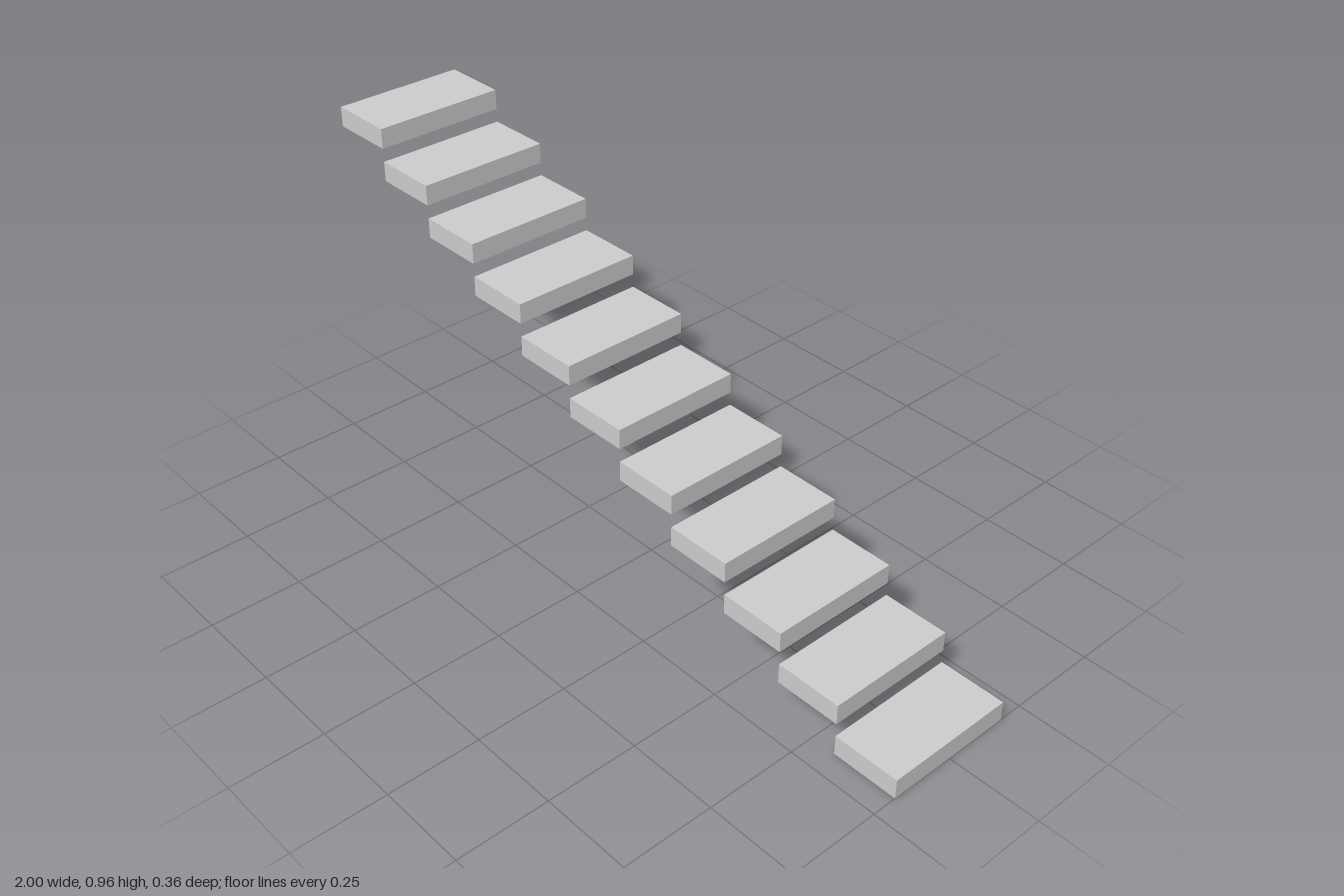
import * as THREE from 'three';

const STEPS = 11;
const TREAD = 2 / STEPS;      // step length along x
const RISE = TREAD / 2;       // height gained per step
const THICKNESS = TREAD * 0.3;
const WIDTH = TREAD * 2;      // step width along z

export function createModel() {
  const staircase = new THREE.Group();
  staircase.name = 'floatingStaircase';

  const material = new THREE.MeshStandardMaterial({ color: 0xcccccc, flatShading: true });
  const slab = new THREE.BoxGeometry(TREAD, THICKNESS, WIDTH);

  // Separate floating slabs, climbing from +x to -x
  for (let i = 0; i < STEPS; i++) {
    const step = new THREE.Mesh(slab, material);
    step.name = `step${i + 1}`;
    step.position.set(1 - TREAD * (i + 0.5), THICKNESS / 2 + RISE * i, 0);
    staircase.add(step);
  }
  return staircase;
}
